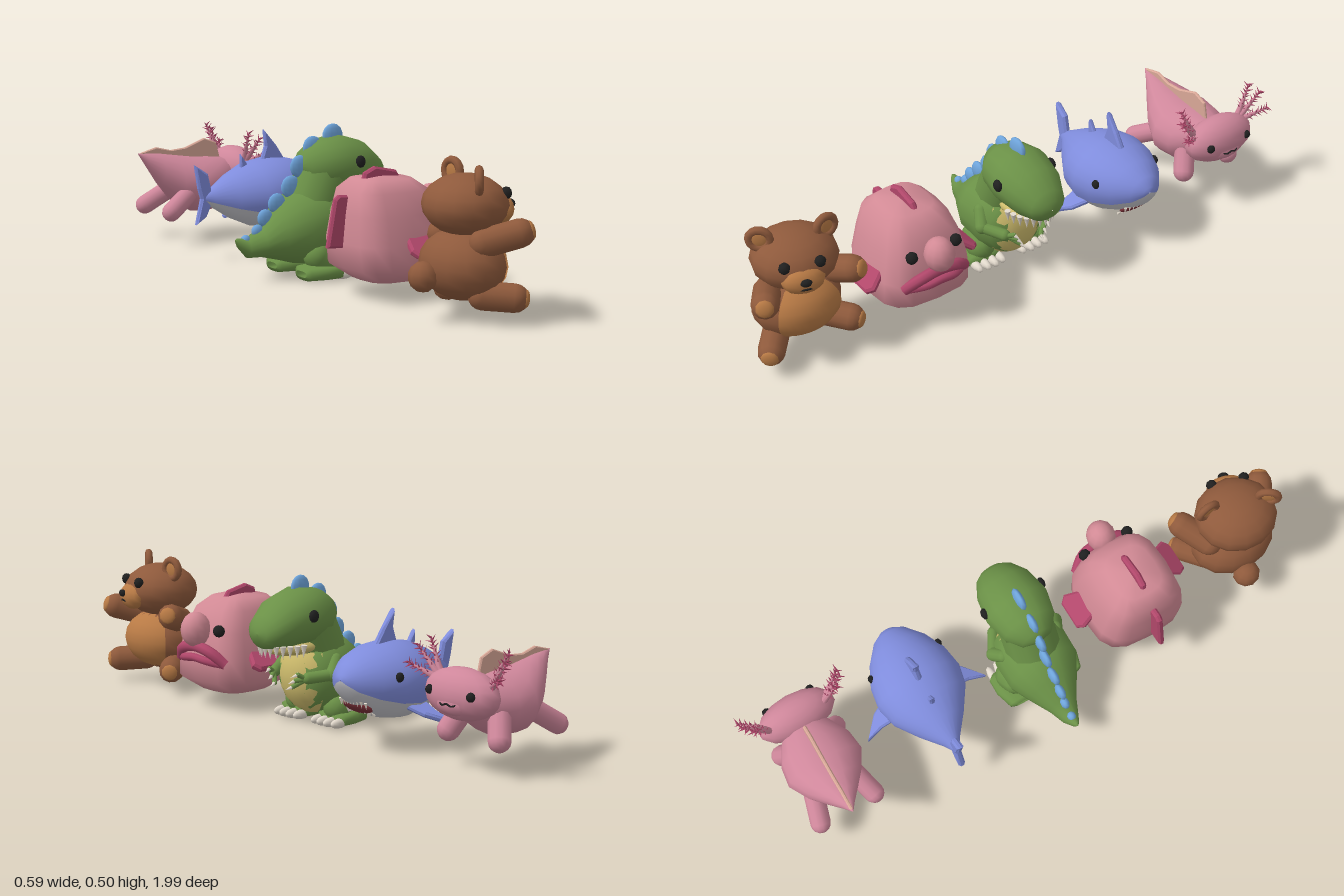
import * as THREE from 'three';

const C = {
  brown: 0x8f5a3c, tan: 0xb87a45, pink: 0xd28a95, magenta: 0xb0476a, green: 0x6b9147, yellow: 0xcdbb6c,
  spine: 0x6fa5dc, blue: 0x7f8cdc, grey: 0xc4c4ca, black: 0x202020, rose: 0xcf879b, peach: 0xd9a898,
  claw: 0xe2d9cc, mouth: 0x7a3038,
};
const V = (p) => new THREE.Vector3(...p);
const SIDES = [1, -1];

function add(parent, name, geo, color, pos = [0, 0, 0]) {
  const mat = new THREE.MeshStandardMaterial({ color, side: THREE.DoubleSide });
  const m = new THREE.Mesh(geo, mat);
  m.name = name;
  m.position.set(...pos);
  parent.add(m);
  return m;
}

function ball(parent, name, color, pos, r, seg = 14) {
  const m = add(parent, name, new THREE.SphereGeometry(1, seg, Math.round(seg * 0.7)), color, pos);
  m.scale.set(...r);
  return m;
}

// front slice of an ellipsoid, facing +x
function patch(parent, name, color, pos, r, half) {
  const m = add(parent, name, new THREE.SphereGeometry(1, 10, 10, Math.PI - half, 2 * half), color, pos);
  m.scale.set(...r);
}

function aim(m, a, b) {
  const d = V(b).sub(V(a));
  m.position.copy(V(a).add(V(b)).multiplyScalar(0.5));
  m.quaternion.setFromUnitVectors(new THREE.Vector3(0, 1, 0), d.normalize());
  return m;
}
const dist = (a, b) => V(a).distanceTo(V(b));
// rounded limb whose end centres are a and b
const limb = (g, name, color, a, b, r) =>
  aim(add(g, name, new THREE.CapsuleGeometry(r, dist(a, b), 4, 12), color), a, b);
// cone with its base at a and tip at b
const spike = (g, name, color, a, b, r, seg = 6) =>
  aim(add(g, name, new THREE.ConeGeometry(r, dist(a, b), seg), color), a, b);

// skin along x through sections [x, centre y, radius y, radius z]; n > 2 squares the outline
function loft(sections, { sides = 16, n = 2, from = 0, to = 2 * Math.PI } = {}) {
  const pos = [], idx = [];
  const bend = (v) => Math.sign(v) * Math.abs(v) ** (2 / n);
  const closed = to - from > 6.28, cols = closed ? sides : sides + 1;
  for (const [x, y, ry, rz] of sections)
    for (let j = 0; j < cols; j++) {
      const a = from + (to - from) * j / sides;
      pos.push(x, y + ry * bend(Math.cos(a)), rz * bend(Math.sin(a)));
    }
  for (let i = 0; i < sections.length - 1; i++)
    for (let j = 0; j < sides; j++) {
      const k = (j + 1) % cols, a = i * cols + j, b = i * cols + k;
      idx.push(a, b, a + cols, a + cols, b, b + cols);
    }
  const g = new THREE.BufferGeometry();
  g.setAttribute('position', new THREE.Float32BufferAttribute(pos, 3));
  g.setIndex(idx);
  g.computeVertexNormals();
  return g;
}

// thin fin cut from an outline in the xy plane
function fin(parent, name, color, pts, t, pos) {
  const shape = new THREE.Shape(pts.map((p) => new THREE.Vector2(...p)));
  const geo = new THREE.ExtrudeGeometry(shape,
    { depth: t * 0.4, bevelThickness: t * 0.3, bevelSize: t * 0.3, bevelOffset: -t * 0.3, bevelSegments: 1 });
  return add(parent, name, geo.translate(0, 0, -t * 0.2), color, pos);
}

const tube = (pts, r) => new THREE.TubeGeometry(new THREE.CatmullRomCurve3(pts.map(V)), 16, r, 8);

function bear() {
  const g = new THREE.Group();
  ball(g, 'body', C.brown, [0.01, 0.168, 0], [0.12, 0.108, 0.15]);
  patch(g, 'belly', C.tan, [0.012, 0.168, 0], [0.123, 0.106, 0.152], 0.85);
  ball(g, 'tail', C.brown, [-0.12, 0.14, -0.02], [0.045, 0.047, 0.047], 10);
  for (const s of SIDES) {
    const limbs = [['arm', [0.01, 0.245, s * 0.1], [0.1, 0.275, s * 0.155], 0.045],
      ['leg', [0.02, 0.085, s * 0.085], [0.093, 0.08, s * 0.145], 0.044]];
    for (const [name, a, b, r] of limbs) {
      limb(g, name, C.brown, a, b, r);
      const d = V(b).sub(V(a)).normalize().multiplyScalar(r * 0.74).add(V(b)).toArray();
      aim(ball(g, name + 'Pad', C.tan, d, [r * 0.66, r * 0.3, r * 0.66], 10), b, d).position.set(...d);
    }
  }
  // head turned a little to its right
  const h = new THREE.Group();
  h.name = 'head';
  h.position.set(0.018, 0.347, 0);
  h.rotation.y = -0.28;
  g.add(h);
  ball(h, 'skull', C.brown, [0, 0, 0], [0.13, 0.093, 0.14]);
  ball(h, 'snout', C.tan, [0.107, -0.017, 0], [0.042, 0.047, 0.07], 12);
  ball(h, 'nose', C.black, [0.147, -0.004, 0], [0.012, 0.013, 0.019], 8);
  add(h, 'mouth', tube([[0.135, -0.035, 0.025], [0.147, -0.028, 0], [0.135, -0.035, -0.025]], 0.004), C.black);
  for (const s of SIDES) {
    ball(h, 'eye', C.black, [0.107, 0.037, s * 0.056], [0.018, 0.019, 0.019], 8);
    const ear = add(h, 'ear', new THREE.TorusGeometry(0.033, 0.013, 8, 14), C.brown, [0, 0.085, s * 0.104]);
    ear.rotation.y = Math.PI / 2 - s * 0.35;
    const inner = ball(h, 'innerEar', C.tan, [0, 0.085, s * 0.104], [0.032, 0.032, 0.008], 10);
    inner.rotation.y = ear.rotation.y;
  }
  return g;
}

function blobFish() {
  const g = new THREE.Group();
  // stacked rounded squares [height, -x, radius x, radius z]
  const body = loft([[0.048, -0.03, 0.002, 0.002], [0.055, -0.03, 0.1, 0.1], [0.1, -0.03, 0.165, 0.168],
    [0.18, -0.027, 0.172, 0.165], [0.27, -0.022, 0.158, 0.143], [0.34, -0.01, 0.135, 0.118],
    [0.375, -0.005, 0.09, 0.08], [0.382, 0, 0.002, 0.002]], { n: 3.2 });
  add(g, 'body', body, C.pink).rotation.z = Math.PI / 2;
  ball(g, 'nose', C.pink, [0.204, 0.28, 0], [0.053, 0.06, 0.05], 12);
  add(g, 'upperLip', tube([[0.17, 0.168, 0.115], [0.2, 0.208, 0.07], [0.205, 0.222, 0],
    [0.2, 0.208, -0.07], [0.17, 0.168, -0.115]], 0.019), C.magenta);
  add(g, 'lowerLip', tube([[0.17, 0.165, 0.11], [0.205, 0.178, 0.05], [0.21, 0.184, 0],
    [0.205, 0.178, -0.05], [0.17, 0.165, -0.11]], 0.014), C.magenta);
  fin(g, 'tailFin', C.magenta, [[-0.2, 0.17], [-0.172, 0.32], [-0.155, 0.333], [-0.1, 0.328], [-0.14, 0.165]], 0.022);
  fin(g, 'dorsalFin', C.magenta, [[-0.075, 0.34], [-0.06, 0.395], [-0.02, 0.412], [0.06, 0.395], [0.085, 0.36]], 0.022);
  for (const s of SIDES) {
    ball(g, 'eye', C.black, [0.172, 0.28, s * 0.083], [0.02, 0.021, 0.021], 8);
    const f = fin(g, 'sideFin', C.magenta,
      [[0, -0.02], [-0.015, 0.05], [0, 0.075], [0.1, 0.075], [0.12, 0.05], [0.09, -0.02]], 0.025, [0, 0.195, s * 0.15]);
    f.rotation.x = s * (Math.PI / 2 + 0.6);
  }
  return g;
}

function dinosaur() {
  const g = new THREE.Group();
  add(g, 'bodyAndTail', loft([[-0.295, 0.142, 0.002, 0.002], [-0.285, 0.133, 0.016, 0.012], [-0.25, 0.112, 0.033, 0.03],
    [-0.2, 0.125, 0.047, 0.052], [-0.14, 0.15, 0.087, 0.09], [-0.07, 0.165, 0.122, 0.128], [0.02, 0.165, 0.133, 0.13],
    [0.08, 0.165, 0.115, 0.11], [0.115, 0.165, 0.07, 0.07], [0.125, 0.165, 0.002, 0.002]]), C.green);
  limb(g, 'neck', C.green, [-0.01, 0.21, 0], [0.055, 0.34, 0], 0.095);
  patch(g, 'belly', C.yellow, [0.02, 0.165, 0], [0.115, 0.135, 0.122], 1.05);
  add(g, 'head', loft([[-0.045, 0.365, 0.002, 0.002], [-0.03, 0.365, 0.055, 0.055], [0.02, 0.365, 0.085, 0.095],
    [0.1, 0.365, 0.098, 0.113], [0.19, 0.35, 0.086, 0.098], [0.25, 0.33, 0.055, 0.068], [0.27, 0.325, 0.03, 0.04],
    [0.275, 0.325, 0.002, 0.002]]), C.green);
  ball(g, 'jaw', C.yellow, [0.125, 0.27, 0], [0.105, 0.03, 0.08]);
  // teeth round the muzzle rim
  for (let i = 0; i < 13; i++) {
    const a = (i / 12 - 0.5) * 2.9, x = 0.135 + 0.105 * Math.cos(a), z = 0.085 * Math.sin(a);
    spike(g, 'tooth', C.claw, [x, 0.285, z], [x, 0.243, z * 0.97], 0.011);
  }
  // ridge plates from crown to tail
  [[0.085, 0.458, 0.041], [0.005, 0.425, 0.038], [-0.045, 0.365, 0.038], [-0.08, 0.3, 0.038], [-0.135, 0.25, 0.034],
    [-0.18, 0.205, 0.03], [-0.21, 0.165, 0.022], [-0.255, 0.14, 0.017]]
    .forEach(([x, y, r]) => ball(g, 'ridgePlate', C.spine, [x, y, 0], [r, r, 0.015], 10));
  for (const s of SIDES) {
    ball(g, 'eye', C.black, [0.125, 0.38, s * 0.107], [0.02, 0.021, 0.013], 8);
    limb(g, 'thigh', C.green, [-0.03, 0.08, s * 0.085], [0, 0.06, s * 0.09], 0.05);
    const foot = add(g, 'foot', loft([[-0.097, 0.024, 0.01, 0.03], [-0.088, 0.026, 0.024, 0.05], [-0.03, 0.026, 0.025, 0.067],
      [0.025, 0.025, 0.024, 0.066], [0.04, 0.022, 0.018, 0.05], [0.042, 0.02, 0.001, 0.001]], { n: 3 }), C.green);
    foot.position.z = s * 0.09;
    for (let i = 0; i < 4; i++)
      ball(g, 'toeClaw', C.claw, [0.045 - Math.abs(i - 1.5) * 0.005, 0.017, s * (0.043 + i * 0.031)], [0.04, 0.0165, 0.015], 10);
    // small arms with three clawed fingers
    limb(g, 'upperArm', C.green, [0.02, 0.22, s * 0.1], [0.055, 0.18, s * 0.12], 0.024);
    limb(g, 'forearm', C.green, [0.055, 0.18, s * 0.12], [0.125, 0.172, s * 0.08], 0.02);
    for (const k of [-1, 0, 1]) {
      const tip = [0.16, 0.165 + k * 0.022, s * (0.055 + k * 0.012)];
      limb(g, 'finger', C.green, [0.13, 0.17, s * 0.078], tip, 0.008);
      spike(g, 'fingerClaw', C.claw, tip, [tip[0] + 0.025, tip[1] - 0.008, tip[2] - s * 0.008], 0.008);
    }
  }
  return g;
}

function shark() {
  const g = new THREE.Group();
  const hull = [[-0.185, 0.215, 0.012, 0.01], [-0.15, 0.215, 0.035, 0.03], [-0.08, 0.215, 0.078, 0.085],
    [0, 0.215, 0.112, 0.138], [0.07, 0.215, 0.124, 0.153], [0.14, 0.218, 0.117, 0.142], [0.21, 0.225, 0.092, 0.108],
    [0.265, 0.233, 0.055, 0.062], [0.287, 0.238, 0.02, 0.025], [0.291, 0.24, 0.002, 0.002]];
  add(g, 'body', loft(hull, { from: -2.05, to: 2.05 }), C.blue);
  add(g, 'belly', loft(hull, { from: 2.05, to: 2 * Math.PI - 2.05, sides: 8 }), C.grey);
  fin(g, 'tailFin', C.blue, [[-0.15, 0.225], [-0.168, 0.3], [-0.218, 0.333], [-0.205, 0.25], [-0.195, 0.215],
    [-0.215, 0.125], [-0.175, 0.15], [-0.15, 0.2]], 0.024);
  fin(g, 'dorsalFin', C.blue, [[0.15, 0.32], [0.11, 0.38], [0.06, 0.437], [0.065, 0.38], [0.045, 0.32]], 0.022);
  fin(g, 'rearFin', C.blue, [[0, 0.31], [-0.035, 0.358], [-0.035, 0.3]], 0.018);
  // open mouth with two rows of teeth
  const gum = ball(g, 'mouth', C.mouth, [0.216, 0.148, 0], [0.032, 0.014, 0.062], 12);
  gum.rotation.z = 0.75;
  for (let i = 0; i < 9; i++) {
    const z = (i - 4) * 0.0135, x = 0.25 - z * z * 5, drop = z * z * 4;
    spike(g, 'upperTooth', C.claw, [x, 0.181 - drop, z], [x - 0.004, 0.157 - drop, z], 0.007, 4);
    spike(g, 'lowerTooth', C.claw, [x - 0.038, 0.134 - drop, z], [x - 0.022, 0.15 - drop, z], 0.006, 4);
  }
  for (const s of SIDES) {
    ball(g, 'eye', C.black, [0.16, 0.25, s * 0.126], [0.015, 0.016, 0.012], 8);
    const f = fin(g, 'sideFin', C.blue, [[0.12, -0.02], [0.09, 0.05], [0.025, 0.115], [0.035, 0.05], [0.03, -0.02]],
      0.02, [0, 0.145, s * 0.12]);
    f.rotation.x = s * (Math.PI / 2 + 0.4);
  }
  return g;
}

function axolotl() {
  const g = new THREE.Group();
  add(g, 'bodyAndTail', loft([[-0.222, 0.325, 0.002, 0.002], [-0.19, 0.302, 0.025, 0.022], [-0.14, 0.265, 0.058, 0.058],
    [-0.08, 0.225, 0.088, 0.1], [-0.01, 0.2, 0.102, 0.134], [0.06, 0.2, 0.097, 0.125], [0.12, 0.215, 0.075, 0.09],
    [0.16, 0.23, 0.05, 0.05]]), C.rose);
  fin(g, 'backFin', C.peach, [[-0.215, 0.328], [-0.15, 0.345], [-0.09, 0.33], [-0.03, 0.335], [0.05, 0.364],
    [0.1, 0.345], [0.12, 0.27], [0, 0.25], [-0.12, 0.27]], 0.012);
  ball(g, 'head', C.rose, [0.178, 0.247, 0], [0.072, 0.08, 0.138]);
  ball(g, 'muzzle', C.rose, [0.205, 0.225, 0], [0.045, 0.042, 0.08], 12);
  add(g, 'mouth', tube([[0.236, 0.232, 0.04], [0.249, 0.222, 0.018], [0.25, 0.228, 0], [0.249, 0.222, -0.018],
    [0.236, 0.232, -0.04]], 0.003), C.black);
  for (const s of SIDES) {
    ball(g, 'eye', C.black, [0.233, 0.257, s * 0.08], [0.014, 0.015, 0.015], 8);
    limb(g, 'frontLeg', C.rose, [0.09, 0.18, s * 0.07], [0.125, 0.112, s * 0.1], 0.036);
    limb(g, 'backLeg', C.rose, [-0.05, 0.18, s * 0.07], [-0.145, 0.12, s * 0.1], 0.034);
    // three feathery gills on each side
    for (const [x, y, z] of [[0.15, 0.395, 0.155], [0.185, 0.375, 0.18], [0.225, 0.325, 0.185]]) {
      const a = V([0.165, 0.27, s * 0.09]), b = V([x, y, s * z]);
      spike(g, 'gillStalk', C.rose, a.toArray(), b.toArray(), 0.015, 8);
      const d = b.clone().sub(a).normalize(), u = new THREE.Vector3(1, 0, 0).cross(d).normalize(), w = d.clone().cross(u);
      for (let i = 0; i < 20; i++) {
        const p = a.clone().lerp(b, 0.35 + i * 0.032), t = i * 2.4;
        const q = p.clone().addScaledVector(u, 0.021 * Math.cos(t)).addScaledVector(w, 0.021 * Math.sin(t)).addScaledVector(d, 0.012);
        spike(g, 'gillFilament', C.magenta, p.toArray(), q.toArray(), 0.004, 4);
      }
    }
  }
  return g;
}

export function createModel() {
  const model = new THREE.Group();
  model.name = 'plushToyRow';
  const row = [['bear', bear, 0.8], ['blobFish', blobFish, 0.388], ['dinosaur', dinosaur, 0],
    ['shark', shark, -0.395], ['axolotl', axolotl, -0.792]];
  for (const [name, make, z] of row) {
    const toy = make();
    toy.name = name;
    toy.position.z = z;
    model.add(toy);
  }
  return model;
}
